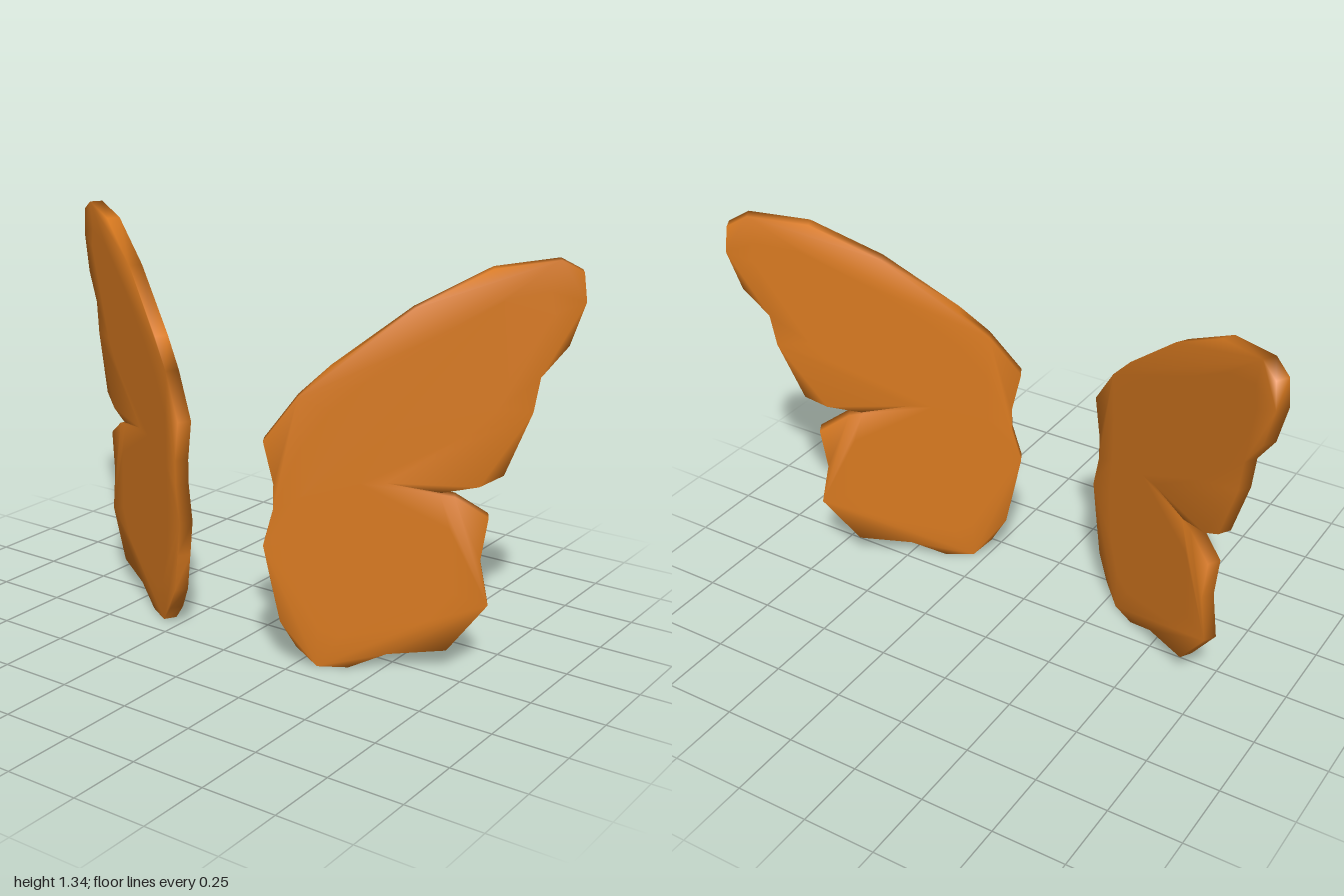
import * as THREE from 'three';

// Wing outline, clockwise from the upper root, as (x, y) seen from the front
const OUTLINE = [
  [0.158, 0.76], [0.25, 0.905], [0.337, 1.0], [0.55, 1.19], [0.75, 1.315], [0.92, 1.345],
  [0.978, 1.31], [0.988, 1.22], [0.95, 1.085], [0.882, 0.985], [0.867, 0.875], [0.798, 0.67],
  [0.735, 0.63], [0.635, 0.608], [0.485, 0.635], [0.63, 0.603], [0.672, 0.595], [0.763, 0.53],
  [0.745, 0.385], [0.77, 0.235], [0.662, 0.075], [0.5, 0.055], [0.395, 0.003], [0.308, 0.003],
  [0.25, 0.07], [0.205, 0.155], [0.18, 0.29], [0.158, 0.415], [0.185, 0.535], [0.186, 0.62],
];

// Inner ring where the soft rim shading settles into the flat wing face
const INNER = [
  [0.26, 0.75], [0.34, 0.87], [0.43, 0.96], [0.6, 1.1], [0.78, 1.22], [0.9, 1.25],
  [0.91, 1.18], [0.86, 1.08], [0.8, 0.98], [0.77, 0.88], [0.7, 0.8], [0.5, 0.8],
  [0.42, 0.63], [0.5, 0.55], [0.66, 0.49], [0.66, 0.38], [0.67, 0.27], [0.6, 0.17],
  [0.47, 0.15], [0.37, 0.11], [0.31, 0.14], [0.27, 0.25], [0.25, 0.42], [0.26, 0.58],
];

const HALF_THICKNESS = 0.023;
const SWEEP = Math.atan(0.598); // wings angle backwards towards the tips

function wingGeometry(side) {
  const toVec = ([x, y]) => new THREE.Vector2(x, y);
  const outer = OUTLINE.map(toVec), inner = INNER.map(toVec);
  const points = [...outer, ...inner];
  const n = points.length, m = outer.length;

  // Front copy then back copy of every point, on the swept plane
  const positions = [];
  for (const face of [1, -1]) {
    for (const p of points) {
      positions.push(
        side * (p.x + face * HALF_THICKNESS * Math.sin(SWEEP)),
        p.y,
        0.245 - (p.x - 0.152) * Math.tan(SWEEP) + face * HALF_THICKNESS * Math.cos(SWEEP),
      );
    }
  }

  const index = [];
  const tri = (a, b, c) => (side > 0 ? index.push(a, b, c) : index.push(a, c, b));

  // Rim band and inner panel, on both faces
  const faces = [
    ...THREE.ShapeUtils.triangulateShape(outer, [inner]),
    ...THREE.ShapeUtils.triangulateShape(inner, []).map((f) => f.map((i) => i + m)),
  ];
  for (let [a, b, c] of faces) {
    const ab = points[b].clone().sub(points[a]);
    const ac = points[c].clone().sub(points[a]);
    if (ab.cross(ac) < 0) [b, c] = [c, b];
    tri(a, b, c);
    tri(a + n, c + n, b + n);
  }

  // Edge wall, sharing vertices with the faces for smooth shading
  for (let i = 0; i < m; i++) {
    const j = (i + 1) % m;
    tri(i, j, j + n);
    tri(i, j + n, i + n);
  }

  const geometry = new THREE.BufferGeometry();
  geometry.setAttribute('position', new THREE.Float32BufferAttribute(positions, 3));
  geometry.setIndex(index);
  geometry.computeVertexNormals();
  return geometry;
}

export function createModel() {
  const group = new THREE.Group();
  group.name = 'butterflyWings';
  const orange = new THREE.MeshStandardMaterial({ color: 0xd97a20 });
  orange.name = 'wing orange';
  for (const [name, side] of [['leftWing', 1], ['rightWing', -1]]) {
    const wing = new THREE.Mesh(wingGeometry(side), orange);
    wing.name = name;
    group.add(wing);
  }
  return group;
}
